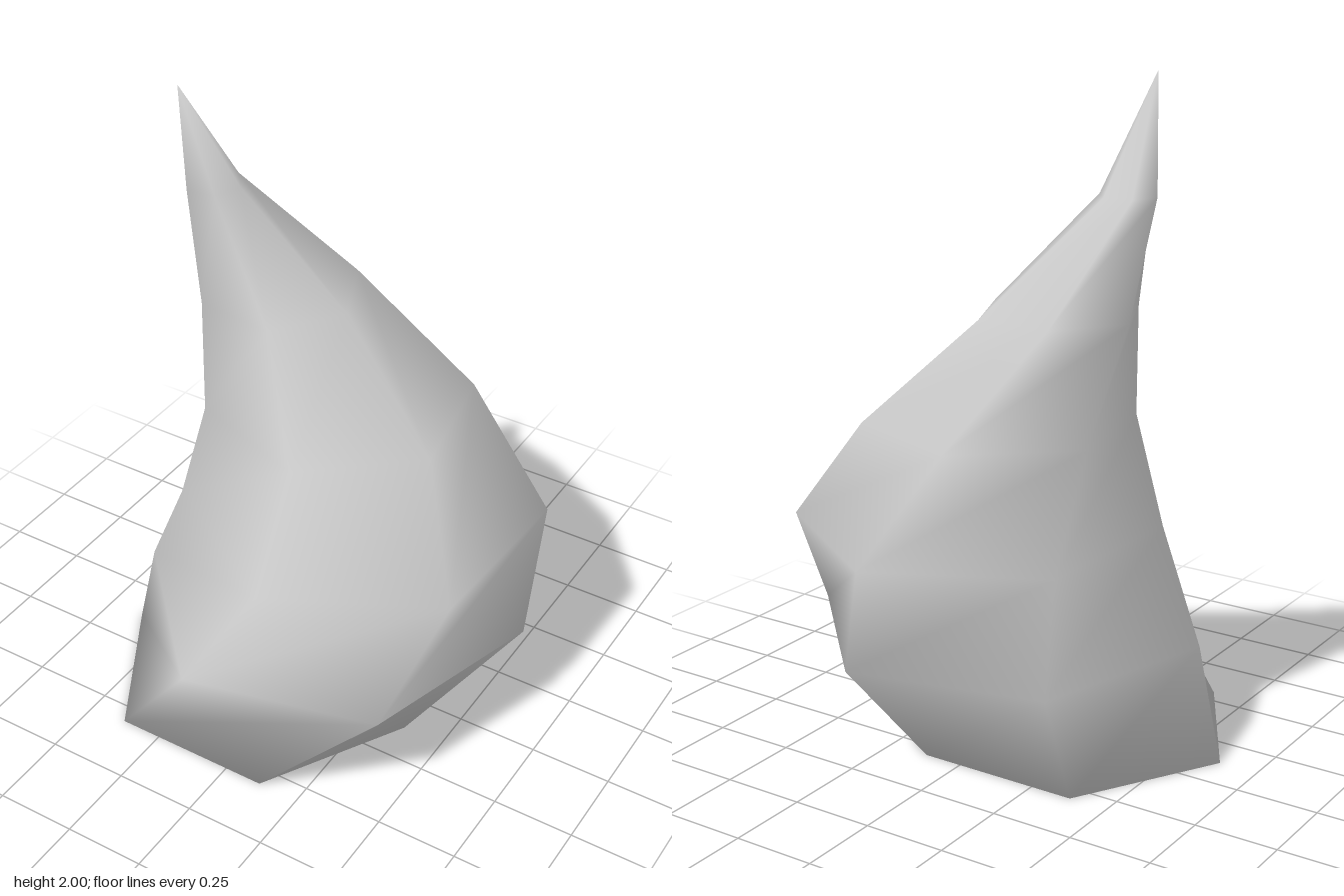
import * as THREE from 'three';

const SIDES = 6;
const TWIST = THREE.MathUtils.degToRad(13.5); // turn added at every ring

// Cross-sections from the base upwards: centre x, centre z, radius
const RINGS = [
  [-0.13, 0.125, 0.5],
  [0.05, 0.02, 0.6],
  [0.11, -0.05, 0.55],
  [0.015, -0.07, 0.4],
  [-0.17, -0.04, 0.24],
  [-0.335, 0.045, 0.086],
];
const TIP = [-0.36, 2, 0.155];

function twistedBody() {
  const positions = [];
  const index = [];
  const at = (ring, side) => ring * SIDES + (side % SIDES);

  // Hexagonal rings, each turned a little further than the one below
  RINGS.forEach(([cx, cz, r], i) => {
    for (let s = 0; s < SIDES; s++) {
      const a = (s / SIDES) * Math.PI * 2 + i * TWIST;
      positions.push(cx + r * Math.cos(a), i / 3, cz - r * Math.sin(a));
    }
  });
  const tip = positions.length / 3;
  positions.push(...TIP);
  const base = tip + 1;
  positions.push(RINGS[0][0], 0, RINGS[0][1]);

  // Walls between neighbouring rings
  for (let i = 0; i < RINGS.length - 1; i++) {
    for (let s = 0; s < SIDES; s++) {
      index.push(at(i, s), at(i, s + 1), at(i + 1, s + 1));
      index.push(at(i, s), at(i + 1, s + 1), at(i + 1, s));
    }
  }
  // Pointed top and closed base
  for (let s = 0; s < SIDES; s++) {
    index.push(at(RINGS.length - 1, s), at(RINGS.length - 1, s + 1), tip);
    index.push(at(0, s + 1), at(0, s), base);
  }

  const geometry = new THREE.BufferGeometry();
  geometry.setAttribute('position', new THREE.Float32BufferAttribute(positions, 3));
  geometry.setIndex(index);
  geometry.computeVertexNormals();
  return geometry;
}

export function createModel() {
  const model = new THREE.Group();
  model.name = 'twistedFlame';

  const material = new THREE.MeshStandardMaterial({ color: 0xcccccc });
  material.name = 'light grey';

  const body = new THREE.Mesh(twistedBody(), material);
  body.name = 'flameBody';
  model.add(body);
  return model;
}
